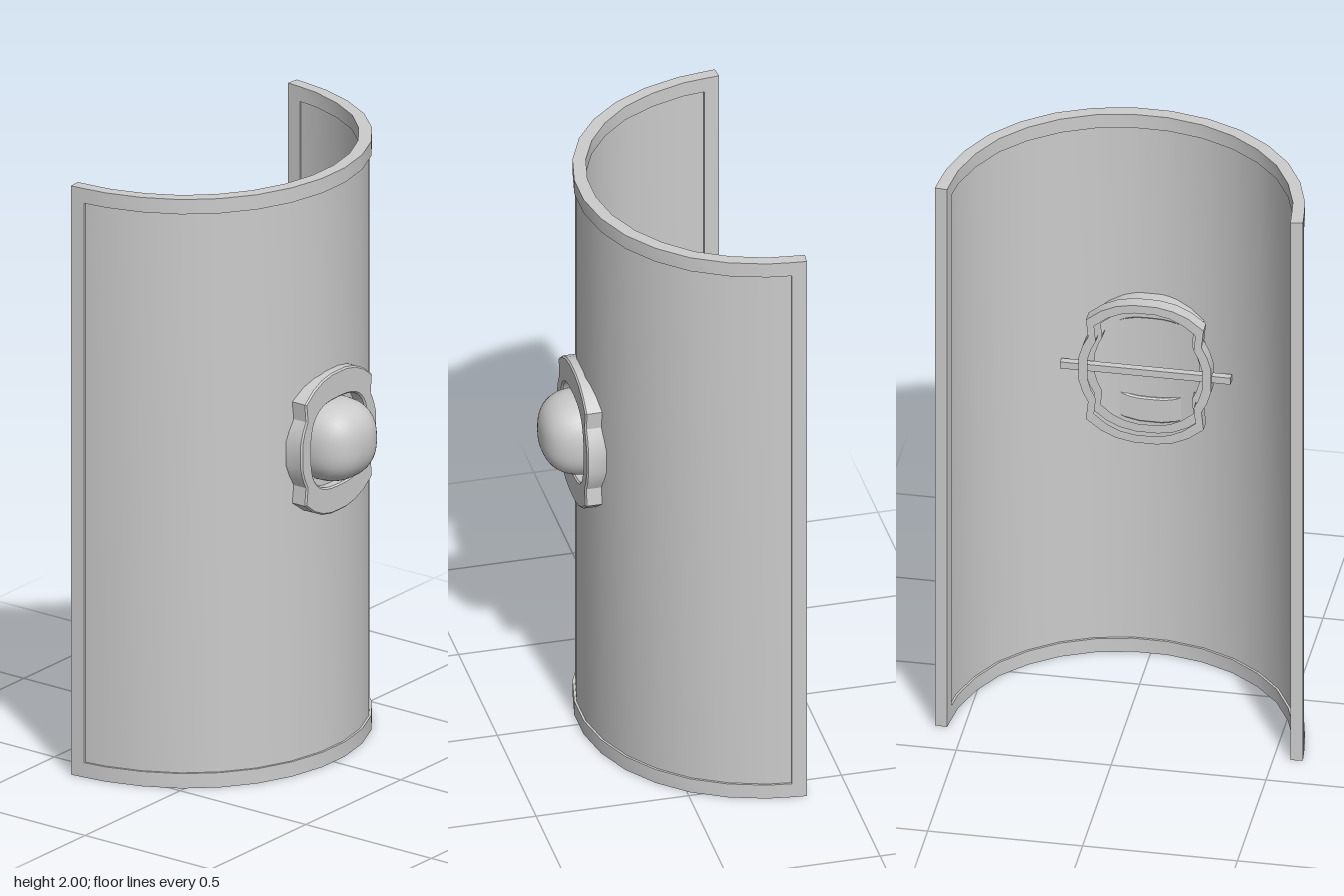
import * as THREE from 'three';
import { toCreasedNormals, mergeVertices } from 'three/addons/utils/BufferGeometryUtils.js';

const material = new THREE.MeshStandardMaterial({ color: 0xcccccc });
const HEIGHT = 2, RIM = 0.05, BOSS_Y = 1.097;

// Half cross-section of the curved shield, [x, z] from the middle to the free edge
const OUTER = [[0.06, 0.233], [0.185, 0.207], [0.3, 0.157], [0.4, 0.083], [0.482, -0.01], [0.541, -0.12], [0.578, -0.237], [0.589, -0.315], [0.594, -0.363]];
const INNER = [[0.056, 0.191], [0.172, 0.167], [0.278, 0.12], [0.37, 0.053], [0.448, -0.032], [0.504, -0.135], [0.54, -0.245], [0.549, -0.317], [0.554, -0.367]];
// Quarter outline of the boss plate, from the top to the side
const BOSS = [[0.035, 0.238], [0.085, 0.228], [0.13, 0.207], [0.174, 0.172], [0.168, 0.112], [0.184, 0.08], [0.196, 0.04]];

const mesh = (name, geometry) => {
  const m = new THREE.Mesh(geometry, material);
  m.name = name;
  return m;
};
const toShape = (pts) => new THREE.Shape(pts.map(([x, y]) => new THREE.Vector2(x, y)));
const mirrorX = (pts) => [...pts.map(([x, z]) => [-x, z]).reverse(), ...pts];

// Curve lying between the outer (t = 0) and inner (t = 1) faces
const layer = (t) => OUTER.map(([x, z], i) => [x + (INNER[i][0] - x) * t, z + (INNER[i][1] - z) * t]);

// Plan outline [x, z] raised from y0 to y1
function raise(pts, y0, y1) {
  const g = new THREE.ExtrudeGeometry(toShape(pts.map(([x, z]) => [x, -z])), { depth: y1 - y0, bevelEnabled: false });
  g.rotateX(-Math.PI / 2).translate(0, y0, 0);
  return toCreasedNormals(g, 0.5);
}

// Four-way symmetric boss outline
function bossOutline(sx, sy = sx) {
  const side = [...BOSS, ...BOSS.map(([x, y]) => [x, -y]).reverse()];
  return [...side, ...side.map(([x, y]) => [-x, -y])].map(([x, y]) => [x * sx, y * sy]);
}

// Rounded-square outline
function squircle(rx, ry, power, n = 40) {
  const p = (v) => Math.sign(v) * Math.abs(v) ** (2 / power);
  return Array.from({ length: n }, (_, i) => {
    const a = (i / n) * Math.PI * 2;
    return [rx * p(Math.cos(a)), ry * p(Math.sin(a))];
  });
}

// Ring facing the front, between depths z0 and z1
function ring(outline, hole, z0, z1, bevel = 0) {
  const shape = toShape(outline);
  shape.holes.push(toShape(hole));
  const g = new THREE.ExtrudeGeometry(shape, {
    depth: z1 - z0 - 2 * bevel, bevelEnabled: bevel > 0, bevelSize: bevel, bevelThickness: bevel, bevelOffset: -bevel, bevelSegments: 1,
  });
  g.translate(0, BOSS_Y, z0 + bevel);
  return toCreasedNormals(g, 0.45);
}

// Dome with a rounded-square base
function domeGeometry() {
  let g = new THREE.SphereGeometry(1, 40, 16, 0, Math.PI * 2, 0, Math.PI / 2).rotateX(Math.PI / 2);
  const pos = g.attributes.position, v = new THREE.Vector3(), k = 2.5;
  for (let i = 0; i < pos.count; i++) {
    v.fromBufferAttribute(pos, i);
    const r = (Math.abs(v.x) ** k + Math.abs(v.y) ** k + Math.abs(v.z) ** k) ** (-1 / k);
    v.multiplyScalar(r);
    pos.setXYZ(i, v.x * 0.132, v.y * 0.132 + 0.003, v.z * 0.14);
  }
  g.deleteAttribute('normal');
  g.deleteAttribute('uv');
  g = mergeVertices(g, 1e-5);
  g.computeVertexNormals();
  return g.translate(0, BOSS_Y, 0.222);
}

export function createModel() {
  const group = new THREE.Group();

  // Curved panel, slightly thinner than its border
  const body = new THREE.Group();
  body.name = 'shield';
  const panel = [...mirrorX(layer(0.18).slice(0, -1)), ...mirrorX(layer(0.82).slice(0, -1)).reverse()];
  body.add(mesh('panel', raise(panel, RIM, HEIGHT - RIM)));

  // Raised border: top and bottom bands, then the two free edges
  const band = [...mirrorX(OUTER), ...mirrorX(INNER).reverse()];
  body.add(mesh('bottomRim', raise(band, 0, RIM)));
  body.add(mesh('topRim', raise(band, HEIGHT - RIM, HEIGHT)));
  const edge = [...OUTER.slice(-2), ...INNER.slice(-2).reverse()];
  for (const [s, name] of [[1, 'leftRim'], [-1, 'rightRim']]) {
    body.add(mesh(name, raise(edge.map(([x, z]) => [x * s, z]), RIM, HEIGHT - RIM)));
  }
  group.add(body);

  // Boss on the front, with its collar and handle on the back
  const boss = new THREE.Group();
  boss.name = 'boss';
  boss.add(mesh('bossPlate', ring(bossOutline(1.01, 1), squircle(0.145, 0.147, 2.9), 0.19, 0.256, 0.005)));
  boss.add(mesh('bossDome', domeGeometry()));
  boss.add(mesh('backCollar', ring(bossOutline(1.01, 1), bossOutline(0.86, 0.88), 0.13, 0.2)));
  boss.add(mesh('backFlange', ring(bossOutline(1.09, 1.07), bossOutline(0.94, 0.95), 0.09, 0.135)));
  const handle = mesh('handle', new THREE.BoxGeometry(0.55, 0.024, 0.024));
  handle.position.set(0, BOSS_Y, 0.112);
  boss.add(handle);
  group.add(boss);

  return group;
}
